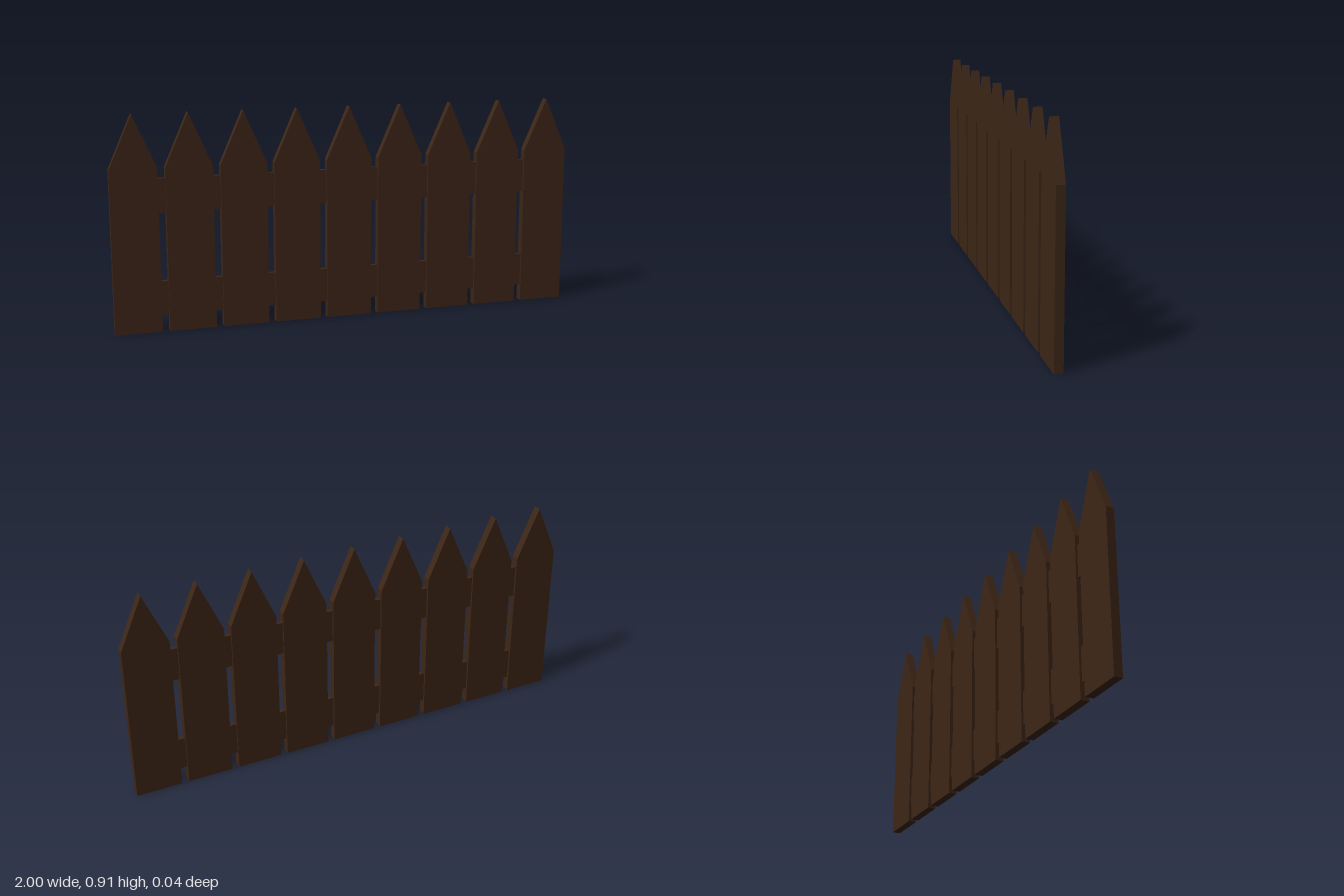
import * as THREE from 'three';

const COUNT = 9, WIDTH = 0.195, SHOULDER = 0.685, PEAK = 0.907;
const DEPTH = 0.036, RAIL_DEPTH = 0.018;

export function createModel() {
  const fence = new THREE.Group();
  fence.name = 'picketFence';
  const wood = new THREE.MeshStandardMaterial({ color: 0x3d2617 });

  // Pointed picket outline, extruded and centred in depth
  const h = WIDTH / 2;
  const outline = new THREE.Shape([
    new THREE.Vector2(-h, 0),
    new THREE.Vector2(h, 0),
    new THREE.Vector2(h, SHOULDER),
    new THREE.Vector2(0, PEAK),
    new THREE.Vector2(-h, SHOULDER),
  ]);
  const picketGeometry = new THREE.ExtrudeGeometry(outline, { depth: DEPTH, bevelEnabled: false });
  picketGeometry.translate(0, 0, -DEPTH / 2);

  // Evenly spaced pickets
  const firstX = -1 + h;
  const spacing = (-2 * firstX) / (COUNT - 1);
  for (let i = 0; i < COUNT; i++) {
    const picket = new THREE.Mesh(picketGeometry, wood);
    picket.name = `picket${i + 1}`;
    picket.position.x = firstX + i * spacing;
    fence.add(picket);
  }

  // Thin horizontal rails running through the middle of the pickets
  const railGeometry = new THREE.BoxGeometry(-2 * firstX, 0.143, RAIL_DEPTH);
  for (const [name, y] of [['lowerRail', 0.142], ['upperRail', 0.571]]) {
    const rail = new THREE.Mesh(railGeometry, wood);
    rail.name = name;
    rail.position.y = y;
    fence.add(rail);
  }

  return fence;
}
